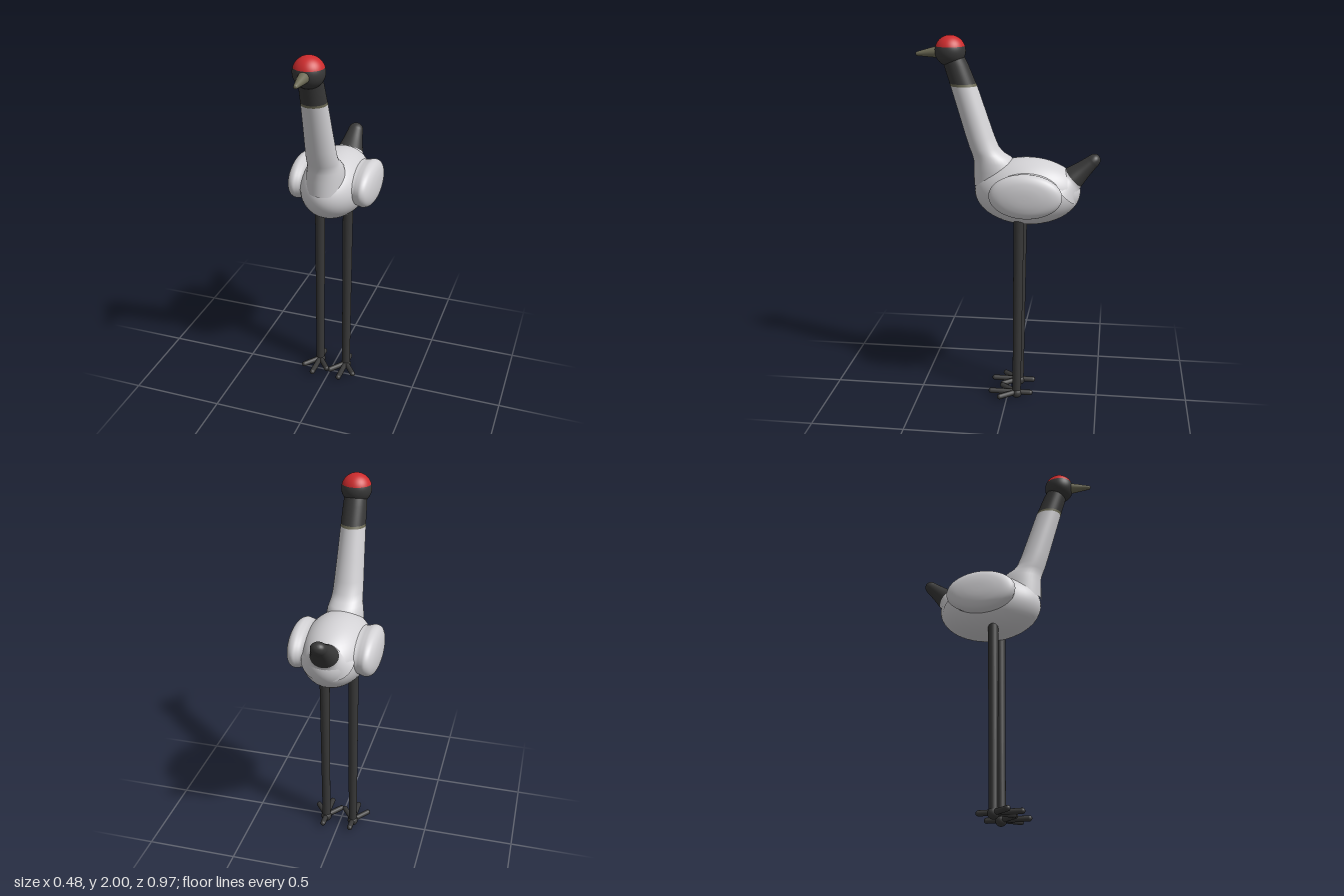
import * as THREE from 'three';

const mat = (name, color) => {
  const m = new THREE.MeshStandardMaterial({ color });
  m.name = name;
  return m;
};

// Smooth tube through horizontal elliptical rings [y, centreZ, radiusX, radiusZ], bottom to top
function loft(rings, sides = 40) {
  const pos = [], index = [];
  rings.forEach(([y, cz, rx, rz], i) => {
    for (let j = 0; j < sides; j++) {
      const a = (j / sides) * Math.PI * 2;
      pos.push(Math.sin(a) * rx, y, cz + Math.cos(a) * rz);
      if (i === rings.length - 1) continue;
      const k = (j + 1) % sides, p = i * sides, q = p + sides;
      index.push(p + j, p + k, q + k, p + j, q + k, q + j);
    }
  });
  const g = new THREE.BufferGeometry();
  g.setAttribute('position', new THREE.Float32BufferAttribute(pos, 3));
  g.setIndex(index);
  g.computeVertexNormals();
  return g;
}

// Smooth turned shape from a few [radius, height] points
function turned(points, sides = 40) {
  const curve = new THREE.SplineCurve(points.map(([r, y]) => new THREE.Vector2(r, y)));
  const pts = curve.getPoints(points.length * 4).map(p => new THREE.Vector2(Math.max(p.x, 0), p.y));
  return new THREE.LatheGeometry(pts, sides);
}

export function createModel() {
  const model = new THREE.Group();
  model.name = 'crane';
  const white = mat('pale plumage', 0xd3d2d5);
  const black = mat('charcoal', 0x383838);
  const red = mat('crown red', 0xcc2b2d);
  const olive = mat('olive horn', 0x6d6b56);

  const add = (name, geometry, material, parent = model) => {
    const mesh = new THREE.Mesh(geometry, material);
    mesh.name = name;
    parent.add(mesh);
    return mesh;
  };

  // Egg-shaped body
  const body = add('body', new THREE.SphereGeometry(1, 48, 32), white);
  body.scale.set(0.18, 0.18, 0.282);
  body.position.set(0, 1.19, -0.1);

  // Neck flares into the body, then a thin band and the dark upper neck
  add('neck', loft([
    [1.22, 0.06, 0.1, 0.125], [1.3, 0.065, 0.1, 0.121], [1.345, 0.075, 0.094, 0.11],
    [1.37, 0.09, 0.087, 0.101], [1.39, 0.11, 0.083, 0.087], [1.42, 0.13, 0.081, 0.079],
    [1.48, 0.152, 0.078, 0.076], [1.6, 0.19, 0.072, 0.073], [1.742, 0.235, 0.066, 0.07],
  ]), white);
  add('neckBand', loft([[1.742, 0.235, 0.066, 0.07], [1.755, 0.24, 0.0655, 0.069]]), olive);
  add('upperNeck', loft([
    [1.755, 0.24, 0.0655, 0.069], [1.85, 0.274, 0.062, 0.064], [1.9, 0.295, 0.058, 0.06],
  ]), black);

  // Head: dark lower part and red crown share one sphere
  const head = new THREE.Group();
  head.name = 'head';
  head.position.set(0, 1.92, 0.303);
  model.add(head);
  const split = Math.acos(0.3);
  add('face', new THREE.SphereGeometry(0.08, 40, 20, 0, Math.PI * 2, split, Math.PI - split), black, head);
  add('crown', new THREE.SphereGeometry(0.08, 40, 16, 0, Math.PI * 2, 0, split), red, head);

  // Beak
  const beak = add('beak', turned([
    [0.031, 0], [0.026, 0.04], [0.017, 0.09], [0.011, 0.122], [0.007, 0.129], [0, 0.131],
  ], 20), olive, head);
  beak.position.set(0, -0.005, 0.052);
  beak.rotation.x = Math.PI / 2 + 0.1;

  // Tail: pale root and dark rounded tip
  const tail = new THREE.Group();
  tail.name = 'tail';
  tail.position.set(0, 1.27, -0.345);
  tail.rotation.x = -0.83;
  tail.scale.x = 1.2;
  model.add(tail);
  add('tailRoot', turned([[0.115, -0.08], [0.085, -0.04], [0.068, -0.015], [0.062, 0]]), white, tail);
  add('tailTip', turned([
    [0.062, 0], [0.048, 0.06], [0.037, 0.12], [0.034, 0.142], [0.027, 0.16], [0.014, 0.172], [0, 0.175],
  ]), black, tail);

  for (const side of [1, -1]) {
    const label = side > 0 ? 'left' : 'right';

    // Folded wing: a flattened oval pad on the flank
    const pad = turned([
      [0.96, 0.1], [0.93, 0.14], [0.97, 0.165], [1, 0.187], [0.93, 0.21],
      [0.75, 0.226], [0.5, 0.235], [0.25, 0.239], [0, 0.24],
    ], 48);
    pad.rotateZ(-side * Math.PI / 2).scale(1, 0.118, 0.19);
    add(label + 'Wing', pad, white).position.set(0, 1.205, -0.107);

    // Leg, foot hub and four toes
    const leg = new THREE.Group();
    leg.name = label + 'Leg';
    leg.position.set(side * 0.08, 0, -0.055);
    model.add(leg);
    const shank = add('shank', new THREE.CylinderGeometry(0.028, 0.023, 1.06, 20), black, leg);
    shank.position.set(0, 0.56, -0.004);
    shank.rotation.x = -0.009;
    const hub = add('ankle', new THREE.SphereGeometry(0.03, 20, 14), black, leg);
    hub.position.y = 0.03;
    for (const [x, z] of [[0, 0.16], [0.078, 0.1], [-0.078, 0.1], [0, -0.09]]) {
      const length = Math.hypot(x, z) - 0.015;
      const toe = add('toe', new THREE.CapsuleGeometry(0.015, length, 6, 14), black, leg);
      toe.geometry.translate(0, length / 2, 0);
      toe.rotation.set(Math.PI / 2, 0, -Math.atan2(x, z));
      toe.position.y = 0.034;
    }
  }
  return model;
}
